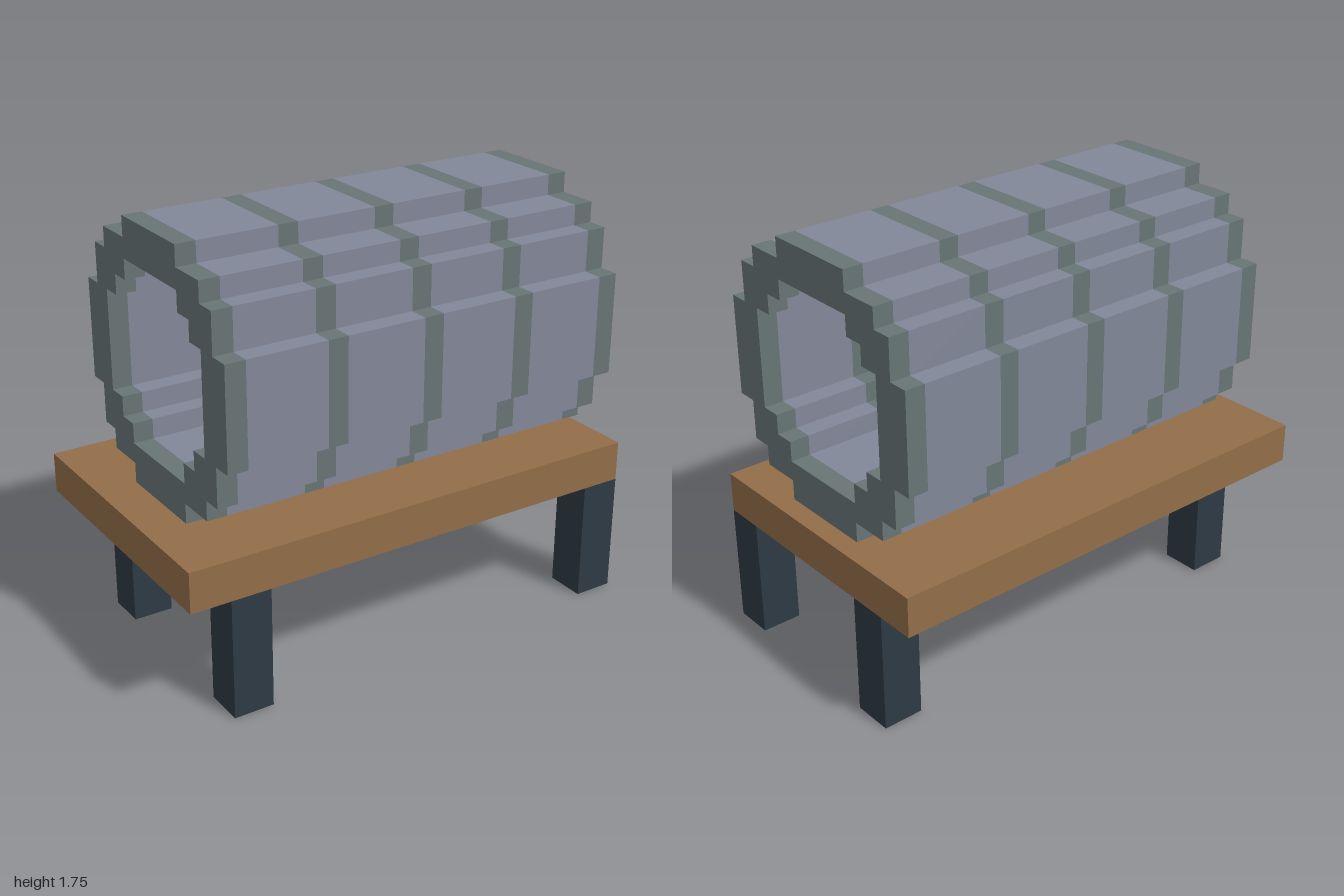
import * as THREE from 'three';

const U = 1 / 12; // block size

const material = (color) => new THREE.MeshStandardMaterial({ color, flatShading: true });

// Stepped counter-clockwise loop: one quarter outline mirrored into all four quadrants.
function steppedLoop(quarter) {
  const mirror = (sx, sy) => quarter.map(([a, b]) => new THREE.Vector2(a * sx * U, b * sy * U));
  return [
    ...mirror(-1, 1),
    ...mirror(-1, -1).reverse(),
    ...mirror(1, -1),
    ...mirror(1, 1).reverse(),
  ];
}

// Box given by its min and max corners in blocks.
function block(name, [x0, y0, z0], [x1, y1, z1], mat) {
  const geometry = new THREE.BoxGeometry((x1 - x0) * U, (y1 - y0) * U, (z1 - z0) * U);
  const mesh = new THREE.Mesh(geometry, mat);
  mesh.name = name;
  mesh.position.set((x0 + x1) * U / 2, (y0 + y1) * U / 2, (z0 + z1) * U / 2);
  return mesh;
}

export function createModel() {
  const model = new THREE.Group();
  model.name = 'barrelOnTable';

  const wood = material(0x926d48);
  const legMat = material(0x2d3a43);
  const panelMat = material(0x828799);
  const bandMat = material(0x687475);

  // Table top and legs
  model.add(block('tableTop', [-12, 6, -7], [12, 8, 7], wood));
  const legs = new THREE.Group();
  legs.name = 'legs';
  for (const x of [-10, 10]) {
    for (const z of [-5, 5]) {
      legs.add(block('leg', [x, 0, z], [x + 2, 6, z + 2], legMat));
    }
  }
  model.add(legs);

  // Stepped ring cross-section of the hollow barrel
  const ring = new THREE.Shape(steppedLoop([
    [2.5, 6.5], [2.5, 5.5], [4.5, 5.5], [4.5, 4.5], [5.5, 4.5], [5.5, 2.5], [6.5, 2.5],
  ]));
  ring.holes.push(new THREE.Path(steppedLoop([
    [2.5, 4.5], [2.5, 3.5], [3.5, 3.5], [3.5, 2.5], [4.5, 2.5],
  ])));

  const barrel = new THREE.Group();
  barrel.name = 'barrel';
  barrel.position.set(0, 14.5 * U, 0.5 * U);
  const addSection = (name, x0, length, mat) => {
    const geometry = new THREE.ExtrudeGeometry(ring, { depth: length * U, bevelEnabled: false });
    geometry.rotateY(Math.PI / 2);
    const mesh = new THREE.Mesh(geometry, mat);
    mesh.name = name;
    mesh.position.x = x0 * U;
    barrel.add(mesh);
  };

  // Alternating narrow bands and wide panels along the barrel
  for (let x = -10; x <= 10; x += 5) {
    addSection('band', x, 1, bandMat);
    if (x < 10) addSection('panel', x + 1, 4, panelMat);
  }
  model.add(barrel);

  return model;
}
